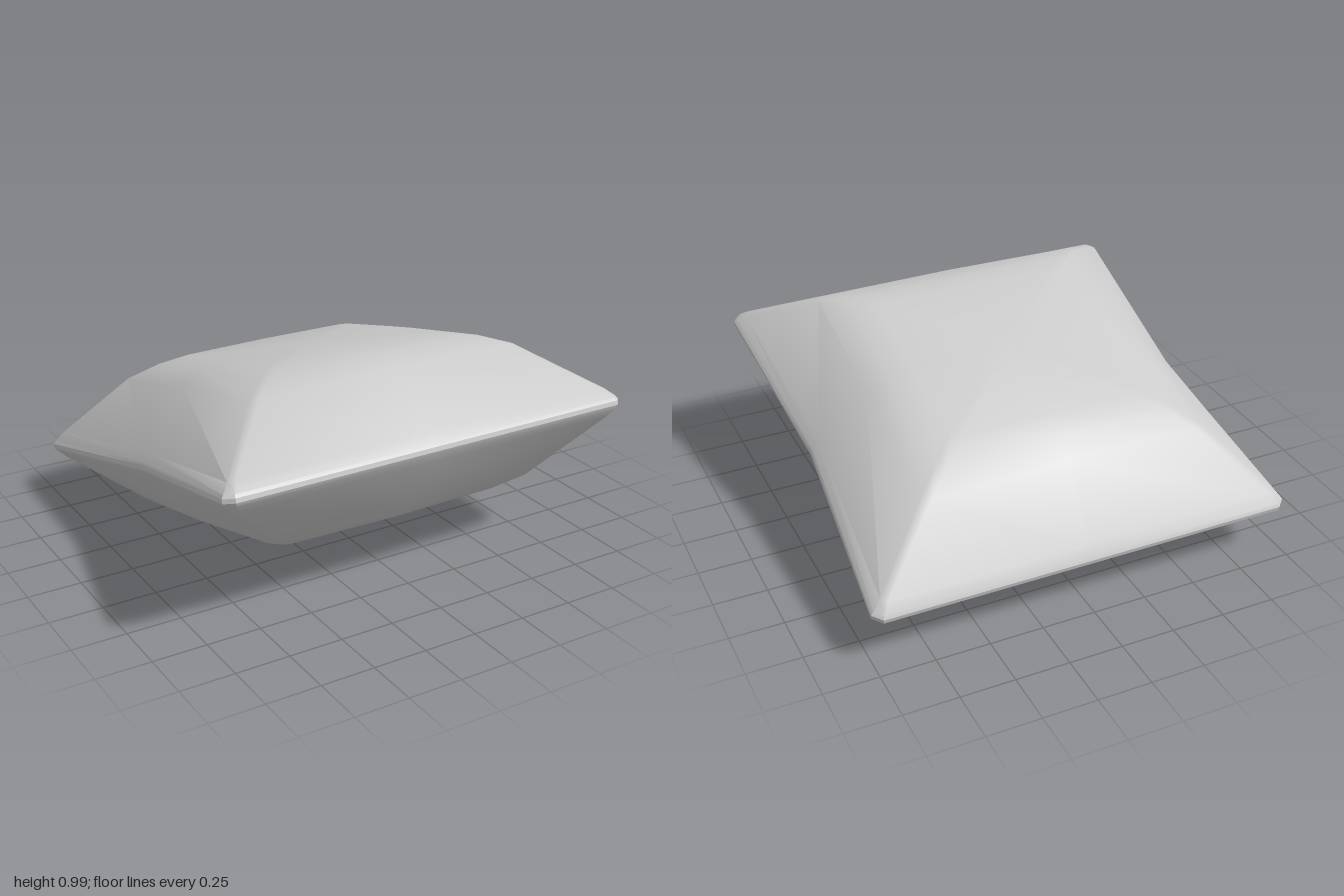
import * as THREE from 'three';
import { toCreasedNormals } from 'three/addons/utils/BufferGeometryUtils.js';

// Half profile of the cushion: [half size, height, side pinch, corner drop, corner chamfer]
const PROFILE = [
  [0.455, 0.39, 0, 0.004, 0.03],
  [0.565, 0.363, 0, 0.008, 0.03],
  [0.675, 0.315, 0, 0.012, 0.03],
  [0.945, 0.062, 0.055, 0, 0.025],
  [0.982, 0.024, 0.066, 0, 0.035],
  [0.992, 0.01, 0.067, 0, 0.04],
];

// One rounded-square ring, counterclockwise from above, narrowed halfway along the two sides
function ring([s, h, pinch, drop, c], up) {
  const w = s > 0.9 ? s + 0.006 : s;
  const y = up * h, yc = up * (h - drop);
  return [
    [0, y, s], [w - c, yc, s], [w, yc, s - c],
    [w - pinch, y, 0], [w, yc, c - s], [w - c, yc, -s],
    [0, y, -s], [c - w, yc, -s], [-w, yc, c - s],
    [pinch - w, y, 0], [-w, yc, s - c], [c - w, yc, s],
  ];
}

function cushionGeometry() {
  const rings = [
    ...PROFILE.map((p) => ring(p, 1)),
    ...[...PROFILE].reverse().map((p) => ring(p, -1)),
  ];
  const n = rings[0].length;
  const positions = rings.flat(2);
  const index = [];

  // Walls between neighbouring rings
  for (let i = 0; i < rings.length - 1; i++) {
    for (let j = 0; j < n; j++) {
      const a = i * n + j, a2 = i * n + (j + 1) % n;
      index.push(a, a + n, a2 + n, a, a2 + n, a2);
    }
  }

  // Flat top and bottom panels
  const top = rings.length * n, bottom = top + 1, last = (rings.length - 1) * n;
  positions.push(0, 0.396, 0, 0, -0.396, 0);
  for (let j = 0; j < n; j++) {
    const k = (j + 1) % n;
    index.push(top, j, k, bottom, last + k, last + j);
  }

  const geometry = new THREE.BufferGeometry();
  geometry.setAttribute('position', new THREE.Float32BufferAttribute(positions, 3));
  geometry.setIndex(index);
  return toCreasedNormals(geometry, 0.6);
}

export function createModel() {
  const model = new THREE.Group();
  model.name = 'tiltedCushion';

  // Cushion leaning back, with its front edge raised
  const cushion = new THREE.Mesh(
    cushionGeometry(),
    new THREE.MeshStandardMaterial({ color: 0xcccccc })
  );
  cushion.name = 'cushion';
  cushion.rotation.x = -0.253;
  cushion.position.y = 0.493;
  model.add(cushion);
  return model;
}
